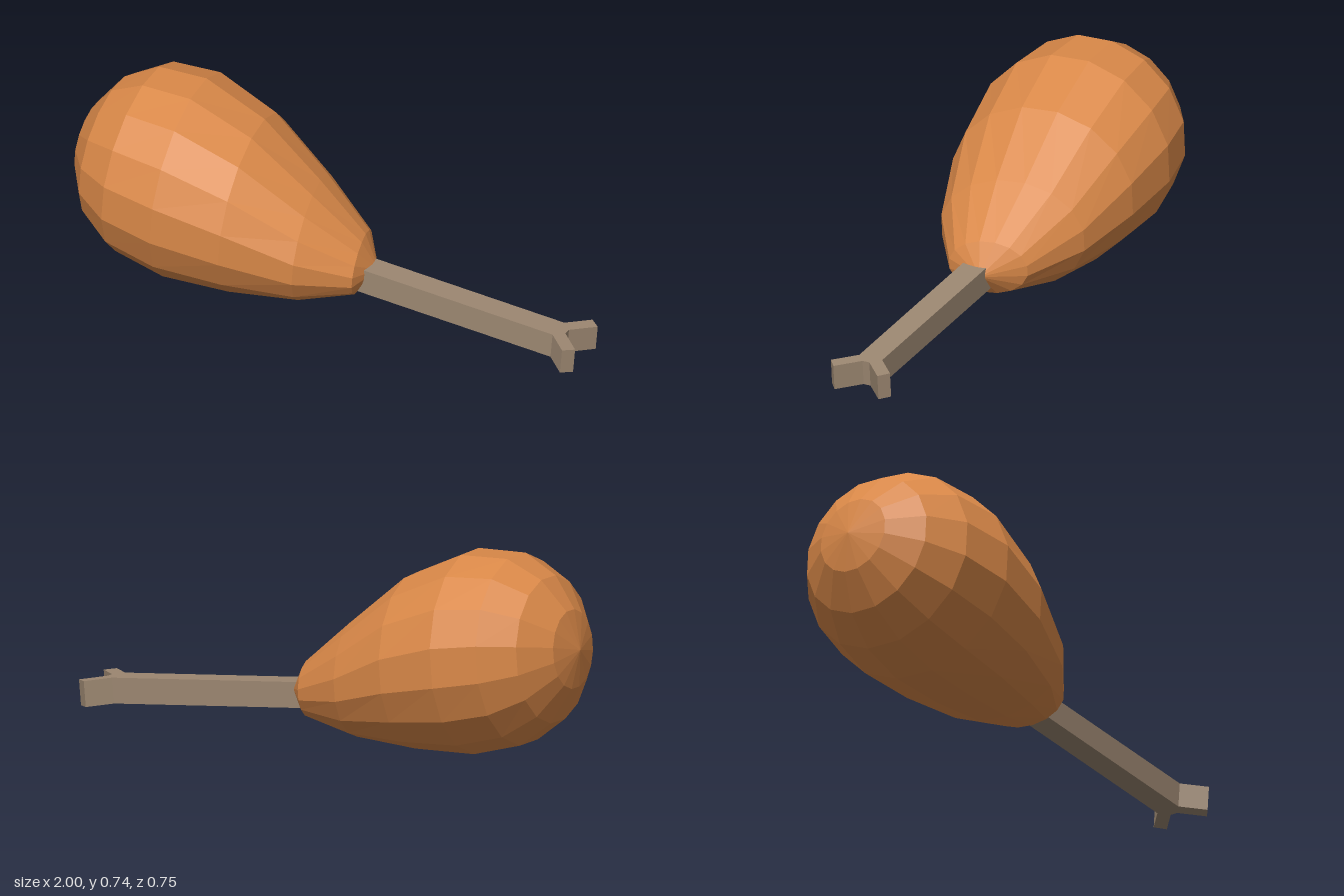
import * as THREE from 'three';

const SIDES = 16;

// Cross-sections of the meat, blunt end to narrow end:
// centre x, y, z, half height, half depth, lean of the ring with z
const RINGS = [
  [-1.0, 0.42, 0, 0, 0, 0],
  [-0.97, 0.42, 0, 0.143, 0.145, 0],
  [-0.889, 0.41, 0, 0.265, 0.27, 0],
  [-0.764, 0.397, 0, 0.345, 0.354, 0.02],
  [-0.577, 0.37, -0.003, 0.368, 0.383, 0.065],
  [-0.34, 0.313, -0.012, 0.315, 0.35, 0.115],
  [-0.104, 0.226, -0.022, 0.21, 0.268, 0.19],
  [0.088, 0.168, -0.03, 0.103, 0.145, 0.22],
  [0.155, 0.155, -0.03, 0, 0, 0],
];

function ringPoint([x, y, z, ry, rz, lean], j) {
  const a = ((j + 0.5) / SIDES) * Math.PI * 2;
  const dy = Math.cos(a) * ry;
  const dz = Math.sin(a) * rz;
  return [x + 0.075 * dy + lean * dz, y + dy - 0.03 * dz, z + dz];
}

// Faceted, lopsided egg skinned over the rings
function meatGeometry() {
  const pos = [];
  for (let i = 0; i < RINGS.length - 1; i++) {
    for (let j = 0; j < SIDES; j++) {
      const a = ringPoint(RINGS[i], j);
      const b = ringPoint(RINGS[i], j + 1);
      const c = ringPoint(RINGS[i + 1], j + 1);
      const d = ringPoint(RINGS[i + 1], j);
      if (i > 0) pos.push(...a, ...b, ...d);
      if (i < RINGS.length - 2) pos.push(...b, ...c, ...d);
      else continue;
      if (i === 0) pos.splice(-9, 9, ...a, ...c, ...d);
    }
  }
  const geo = new THREE.BufferGeometry();
  geo.setAttribute('position', new THREE.Float32BufferAttribute(pos, 3));
  geo.computeVertexNormals();
  return geo;
}

// Square shaft ending in two splayed prongs, drawn from above and extruded
function boneGeometry() {
  const half = [[-0.25, 0.047], [0.735, 0.047], [0.81, 0.121], [0.847, 0.09], [0.77, 0.014]];
  const mirrored = half.map(([x, z]) => [x, -z]).reverse();
  const shape = new THREE.Shape([...half, ...mirrored].map(([x, z]) => new THREE.Vector2(x, z)));
  const height = 0.094;
  const geo = new THREE.ExtrudeGeometry(shape, { depth: height, bevelEnabled: false });
  geo.translate(0, 0, -height / 2);
  geo.rotateX(-Math.PI / 2);
  return geo;
}

export function createModel() {
  const model = new THREE.Group();
  model.name = 'drumstick';

  const meat = new THREE.Mesh(
    meatGeometry(),
    new THREE.MeshStandardMaterial({ color: 0xd98848, flatShading: true })
  );
  meat.name = 'meat';

  // Bone leans slightly down towards the prongs
  const bone = new THREE.Mesh(
    boneGeometry(),
    new THREE.MeshStandardMaterial({ color: 0x9c8771, flatShading: true })
  );
  bone.name = 'bone';
  bone.position.set(0.15, 0.1375, 0);
  bone.rotation.z = -0.089;

  model.add(meat, bone);
  return model;
}
